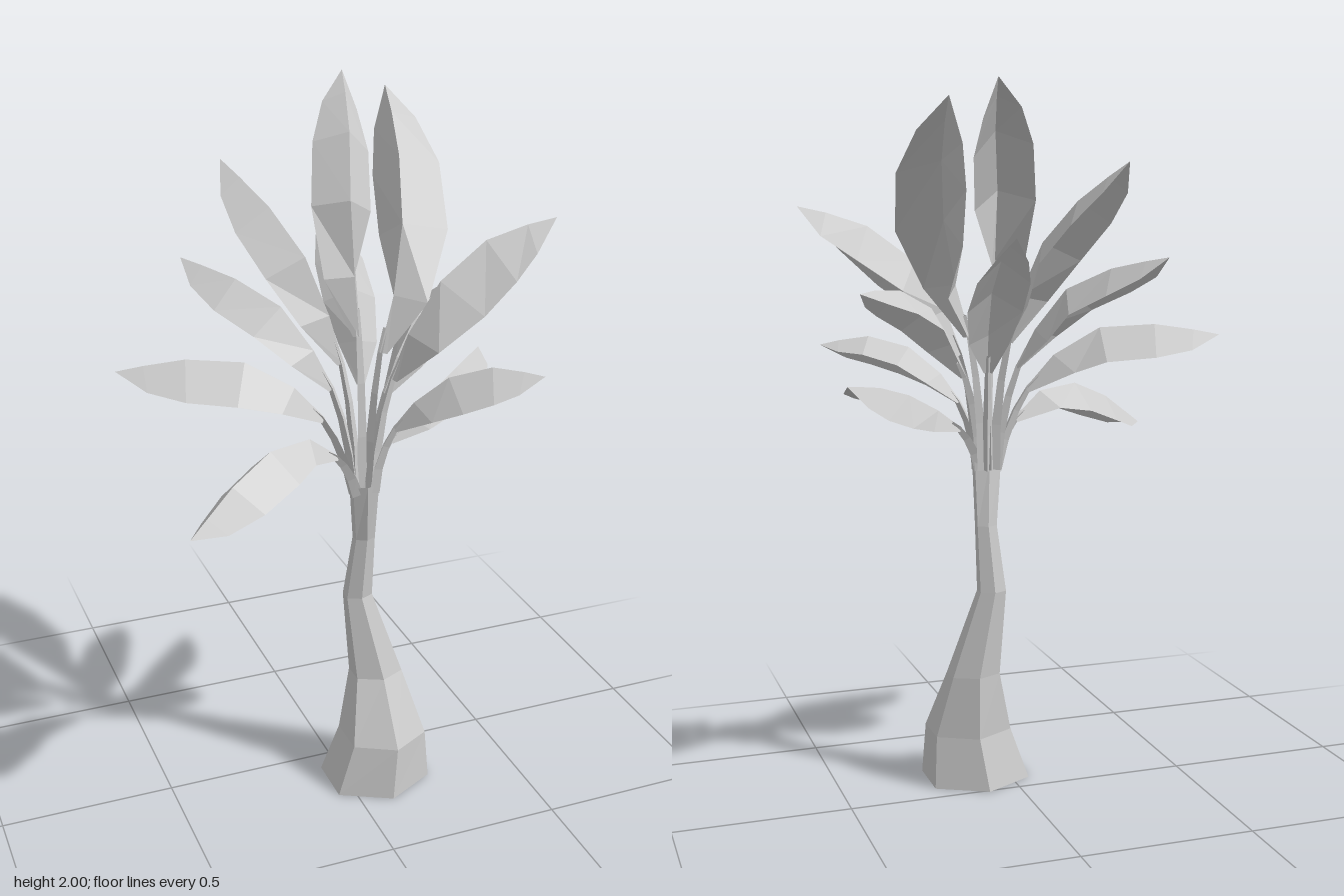
import * as THREE from 'three';

const material = new THREE.MeshStandardMaterial({ color: 0xcccccc, flatShading: true, side: THREE.DoubleSide });
const V = (p) => new THREE.Vector3(...p);
const CROWN = V([0.06, 0.93, 0.115]);

// Trunk rings: y, centre x, centre z, radius x, radius z
const RINGS = [
  [0, 0.093, 0.138, 0.165, 0.148],
  [0.15, 0.113, 0.143, 0.13, 0.122],
  [0.33, 0.11, 0.095, 0.081, 0.066],
  [0.58, 0.062, 0.068, 0.044, 0.036],
  [0.77, 0.073, 0.085, 0.033, 0.027],
  [0.95, 0.06, 0.117, 0.045, 0.028],
];

// Leaves: half width, roll about the ridge, then three ridge points ending at the tip
const LEAVES = [
  [0.085, 0.3, [0.06, 1.66, 0.01], [0.12, 1.89, -0.16], [0.17, 2.0, -0.34]],
  [0.1, -0.35, [0.205, 1.57, 0.01], [0.265, 1.82, -0.16], [0.29, 1.955, -0.315]],
  [0.115, 0, [0.22, 1.48, 0.15], [0.4, 1.625, 0.145], [0.578, 1.675, 0.185]],
  [0.08, 0.1, [0.22, 1.38, 0.05], [0.36, 1.46, -0.03], [0.475, 1.455, -0.11]],
  [0.075, -0.35, [0.26, 1.14, 0.05], [0.4, 1.195, -0.03], [0.515, 1.215, -0.12]],
  [0.08, 0.3, [0.22, 1.25, 0.2], [0.36, 1.305, 0.26], [0.497, 1.28, 0.317]],
  [0.085, 0, [-0.16, 1.155, 0.19], [-0.33, 1.12, 0.275], [-0.515, 0.998, 0.365]],
  [0.1, 0, [-0.2, 1.31, 0.07], [-0.4, 1.34, 0.0], [-0.583, 1.31, -0.058]],
  [0.085, 0, [-0.11, 1.425, 0.0], [-0.22, 1.505, -0.11], [-0.34, 1.543, -0.247]],
  [0.09, 0, [-0.045, 1.54, 0.0], [-0.12, 1.69, -0.13], [-0.207, 1.795, -0.283]],
  [0.075, 0, [0.105, 1.41, -0.06], [0.12, 1.535, -0.2], [0.133, 1.605, -0.372]],
];

// Blade stations along the ridge and their share of the half width
const STATIONS = [[0, 0.15], [0.2, 0.72], [0.45, 1], [0.7, 0.95], [0.88, 0.6], [1, 0]];

// Skin over cross-sections with the same number of points
function loft(sections, closed) {
  const n = sections[0].length;
  const index = [];
  for (let i = 0; i < sections.length - 1; i++) {
    for (let j = 0; j < (closed ? n : n - 1); j++) {
      const a = i * n + j, b = i * n + (j + 1) % n;
      index.push(a, b, a + n, b, b + n, a + n);
    }
  }
  const geometry = new THREE.BufferGeometry().setFromPoints(sections.flat());
  geometry.setIndex(index);
  geometry.computeVertexNormals();
  return geometry;
}

// Side and upward normal at a point of a curve, rolled about its tangent
function frame(curve, t, roll = 0) {
  const tangent = curve.getTangentAt(t);
  const side = new THREE.Vector3(-tangent.z, 0, tangent.x).normalize().applyAxisAngle(tangent, roll);
  const up = new THREE.Vector3().crossVectors(side, tangent).normalize();
  return { point: curve.getPointAt(t), side, up };
}

// Roof-shaped blade, its edges drooping steeply from the ridge
function bladeGeometry(ridge, halfWidth, roll) {
  return loft(STATIONS.map(([t, w]) => {
    const { point, side, up } = frame(ridge, t, roll);
    const h = halfWidth * w;
    const edge = (s) => point.clone().addScaledVector(side, s * h).addScaledVector(up, -0.9 * h);
    return [edge(-1), point, edge(1)];
  }), false);
}

// Three-sided stalk tapering from the crown to the blade
function stalkGeometry(start, next) {
  const out = start.clone().sub(CROWN).setY(0).normalize();
  const foot = CROWN.clone().addScaledVector(out, 0.015);
  const bend = foot.clone().lerp(start, 0.5).addScaledVector(out, -0.012);
  const curve = new THREE.CatmullRomCurve3([foot, bend, start, start.clone().lerp(next, 0.25)]);
  return loft([0, 0.3, 0.6, 0.85, 1].map((t) => {
    const { point, side, up } = frame(curve, t);
    const r = 0.018 - 0.01 * t;
    return [0, 1, 2].map((k) => {
      const a = k * Math.PI * 2 / 3 - Math.PI / 2;
      return point.clone().addScaledVector(side, r * Math.cos(a)).addScaledVector(up, r * Math.sin(a) - r * 0.6);
    });
  }), true);
}

// Six-sided open trunk, bent and flared ring by ring
function trunkGeometry() {
  const geometry = new THREE.CylinderGeometry(1, 1, 1, 6, RINGS.length - 1, true);
  const pos = geometry.attributes.position;
  for (let i = 0; i < pos.count; i++) {
    const [y, cx, cz, rx, rz] = RINGS[Math.round((pos.getY(i) + 0.5) * (RINGS.length - 1))];
    pos.setXYZ(i, cx + pos.getX(i) * rx, y, cz + pos.getZ(i) * rz);
  }
  geometry.computeVertexNormals();
  return geometry;
}

function add(parent, name, geometry) {
  const mesh = new THREE.Mesh(geometry, material);
  mesh.name = name;
  parent.add(mesh);
}

export function createModel() {
  const tree = new THREE.Group();
  tree.name = 'broadLeafTree';
  add(tree, 'trunk', trunkGeometry());
  LEAVES.forEach(([halfWidth, roll, ...path], i) => {
    const ridge = path.map(V);
    // The blade starts part of the way from the crown, rising faster than it spreads
    const start = ridge[0].clone().sub(CROWN).multiply(V([0.42, 0.6, 0.42])).add(CROWN);
    const leaf = new THREE.Group();
    leaf.name = `leaf${i + 1}`;
    add(leaf, 'leafStalk', stalkGeometry(start, ridge[0]));
    add(leaf, 'leafBlade', bladeGeometry(new THREE.CatmullRomCurve3([start, ...ridge]), halfWidth, roll));
    tree.add(leaf);
  });
  return tree;
}
